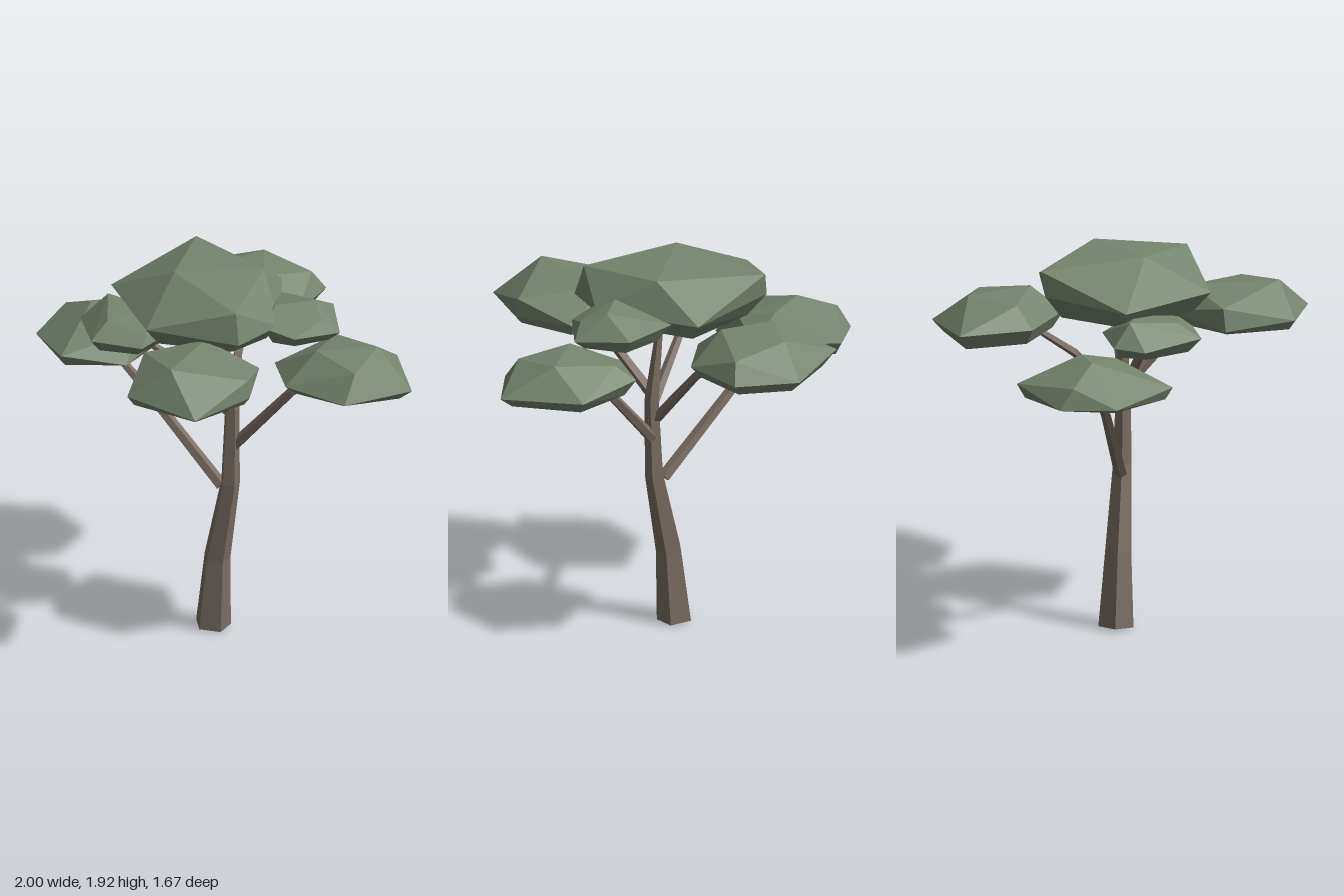
import * as THREE from 'three';
import { ConvexGeometry } from 'three/addons/geometries/ConvexGeometry.js';

const bark = new THREE.MeshStandardMaterial({ color: 0x7c6f65, flatShading: true });
bark.name = 'bark';
const leaf = new THREE.MeshStandardMaterial({ color: 0x76856f, flatShading: true });
leaf.name = 'leaf';

// Tapered five-sided limb swept along stations [x, y, z, radius]
function limb(name, stations) {
  const n = stations.length;
  const points = stations.map(([x, y, z]) => new THREE.Vector3(x, y, z));
  const up = new THREE.Vector3(0, 1, 0);
  const turns = points.map((p, i) => {
    const dir = points[Math.min(i + 1, n - 1)].clone().sub(points[Math.max(i - 1, 0)]).normalize();
    return new THREE.Quaternion().setFromUnitVectors(up, dir);
  });
  const geometry = new THREE.CylinderGeometry(1, 1, 1, 5, n - 1);
  const pos = geometry.attributes.position;
  const v = new THREE.Vector3();
  for (let i = 0; i < pos.count; i++) {
    v.fromBufferAttribute(pos, i);
    const row = Math.round((v.y + 0.5) * (n - 1));
    v.setY(0).multiplyScalar(stations[row][3]).applyQuaternion(turns[row]).add(points[row]);
    pos.setXYZ(i, v.x, v.y, v.z);
  }
  geometry.computeVertexNormals();
  const mesh = new THREE.Mesh(geometry, bark);
  mesh.name = name;
  return mesh;
}

// Faceted leaf pad: rim and crown points [x, y, z], and a flat underside shrunk from the rim
function pad(name, bottom, shrink, rim, crown) {
  const points = [...rim, ...crown].map((p) => new THREE.Vector3(...p));
  const cx = rim.reduce((s, p) => s + p[0], 0) / rim.length;
  const cz = rim.reduce((s, p) => s + p[2], 0) / rim.length;
  for (const [x, , z] of rim) {
    points.push(new THREE.Vector3(cx + (x - cx) * shrink, bottom, cz + (z - cz) * shrink));
  }
  const mesh = new THREE.Mesh(new ConvexGeometry(points), leaf);
  mesh.name = name;
  return mesh;
}

export function createModel() {
  const tree = new THREE.Group();
  tree.name = 'tree';

  // Trunk and branches
  tree.add(
    limb('trunk', [[-0.05, 0.01, 0, 0.09], [-0.02, 0.38, 0, 0.067], [0.062, 0.8, -0.01, 0.048],
      [0.075, 1.2, -0.01, 0.037], [0.03, 1.58, 0, 0.018]]),
    limb('leftLowBranch', [[0.01, 0.77, 0, 0.032], [-0.45, 1.2, 0.1, 0.025], [-0.7, 1.39, 0.14, 0.016]]),
    limb('rightBackBranch', [[0.08, 1.0, -0.02, 0.03], [0.36, 1.34, -0.14, 0.024], [0.57, 1.47, -0.27, 0.015]]),
    limb('rightFrontBranch', [[0.05, 1.19, 0, 0.03], [0.2, 1.44, 0.2, 0.024], [0.3, 1.55, 0.35, 0.016]]),
    limb('leftFrontBranch', [[0.06, 1.18, 0, 0.028], [-0.15, 1.45, 0.17, 0.022], [-0.3, 1.57, 0.29, 0.015]]),
    limb('backBranch', [[0.06, 1.1, -0.02, 0.028], [-0.08, 1.38, -0.2, 0.022], [-0.2, 1.54, -0.4, 0.015]])
  );

  // Leaf pads
  tree.add(
    pad('topPad', 1.64, 0.8,
      [[0, 1.74, -0.42], [-0.44, 1.76, -0.22], [-0.52, 1.74, 0.23], [-0.02, 1.74, 0.48], [0.38, 1.71, 0.24], [0.38, 1.73, -0.04]],
      [[-0.13, 1.92, 0.18], [0.12, 1.905, -0.18], [-0.42, 1.88, -0.25], [0.34, 1.86, 0.22]]),
    pad('leftPad', 1.36, 0.9,
      [[-0.83, 1.43, -0.22], [-1, 1.37, 0.07], [-0.93, 1.38, 0.34], [-0.59, 1.42, 0.5], [-0.37, 1.37, 0.27], [-0.44, 1.42, -0.07]],
      [[-0.75, 1.55, 0.14], [-0.58, 1.535, 0.02], [-0.95, 1.47, 0.12], [-0.44, 1.49, 0.15]]),
    pad('leftFrontPad', 1.53, 0.75,
      [[-0.61, 1.59, 0.2], [-0.6, 1.58, 0.36], [-0.33, 1.6, 0.55], [-0.11, 1.59, 0.42], [-0.15, 1.6, 0.14], [-0.4, 1.6, 0.06]],
      [[-0.52, 1.7, 0.25], [-0.28, 1.69, 0.2], [-0.34, 1.67, 0.43], [-0.14, 1.64, 0.36]]),
    pad('rightFrontPad', 1.52, 0.9,
      [[0, 1.54, 0.55], [0.21, 1.57, 0.83], [0.6, 1.54, 0.75], [0.62, 1.56, 0.4], [0.43, 1.58, 0.15], [0.12, 1.58, 0.2]],
      [[0.37, 1.72, 0.69], [0.2, 1.7, 0.29], [0.02, 1.65, 0.53], [0.61, 1.65, 0.4]]),
    pad('rightUpperPad', 1.64, 0.75,
      [[0.1, 1.73, -0.32], [0.36, 1.72, -0.42], [0.58, 1.69, -0.25], [0.5, 1.7, -0.02], [0.36, 1.73, 0.04], [0.14, 1.72, -0.08]],
      [[0.41, 1.81, -0.25], [0.3, 1.8, -0.08], [0.52, 1.76, -0.18]]),
    pad('rightBackPad', 1.435, 0.83,
      [[0.33, 1.52, -0.43], [0.66, 1.5, -0.56], [1, 1.49, -0.33], [0.85, 1.46, -0.02], [0.52, 1.48, 0.06], [0.28, 1.48, -0.1]],
      [[0.73, 1.63, -0.36], [0.55, 1.625, -0.12], [0.82, 1.59, -0.12], [0.42, 1.59, -0.38]]),
    pad('backPad', 1.5, 0.83,
      [[-0.66, 1.58, -0.58], [-0.36, 1.56, -0.84], [-0.05, 1.56, -0.77], [0.06, 1.56, -0.47], [-0.06, 1.58, -0.27], [-0.43, 1.58, -0.29]],
      [[-0.36, 1.7, -0.65], [-0.12, 1.71, -0.42], [-0.41, 1.69, -0.38], [-0.08, 1.66, -0.7]])
  );
  return tree;
}
